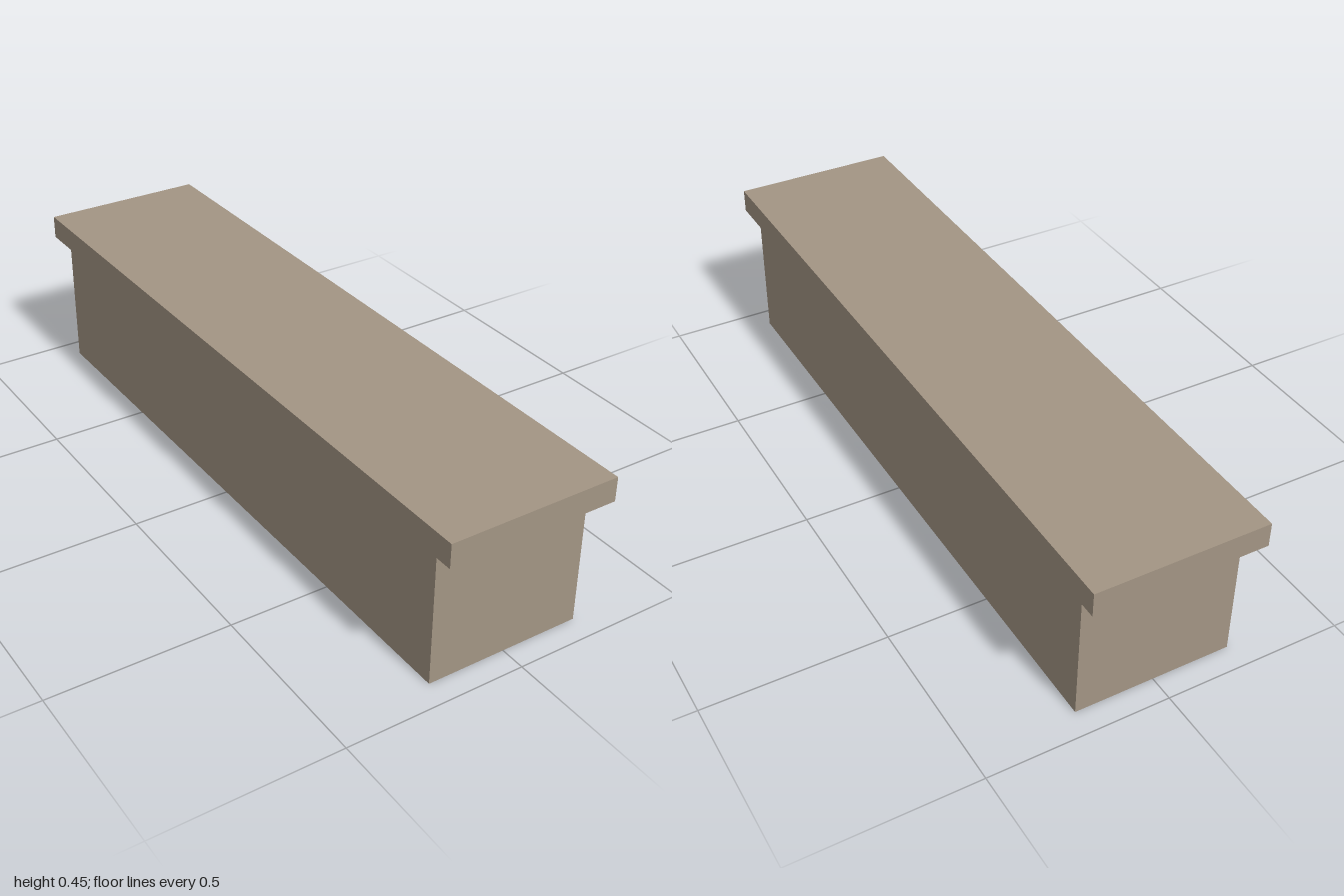
import * as THREE from 'three';

const material = new THREE.MeshStandardMaterial({ color: 0xa39584, flatShading: true });

// Box from y0 to y1 whose bottom and top rectangles [halfX, halfZ] may differ
function taperedBox(name, y0, y1, bottom, top) {
  const geometry = new THREE.BoxGeometry(2, y1 - y0, 2);
  geometry.translate(0, (y0 + y1) / 2, 0);
  const p = geometry.attributes.position;
  const middle = (y0 + y1) / 2;
  for (let i = 0; i < p.count; i++) {
    const [hx, hz] = p.getY(i) > middle ? top : bottom;
    p.setX(i, p.getX(i) * hx);
    p.setZ(i, p.getZ(i) * hz);
  }
  geometry.computeVertexNormals();
  const mesh = new THREE.Mesh(geometry, material);
  mesh.name = name;
  return mesh;
}

export function createModel() {
  const group = new THREE.Group();
  group.name = 'cappedBlock';
  const body = [0.22, 0.93];
  const slab = [0.238, 1];
  group.add(
    taperedBox('body', 0, 0.375, body, body),
    // Sloped underside of the overhanging slab
    taperedBox('slabUnderside', 0.375, 0.385, body, slab),
    taperedBox('topSlab', 0.385, 0.452, slab, slab),
  );
  return group;
}
